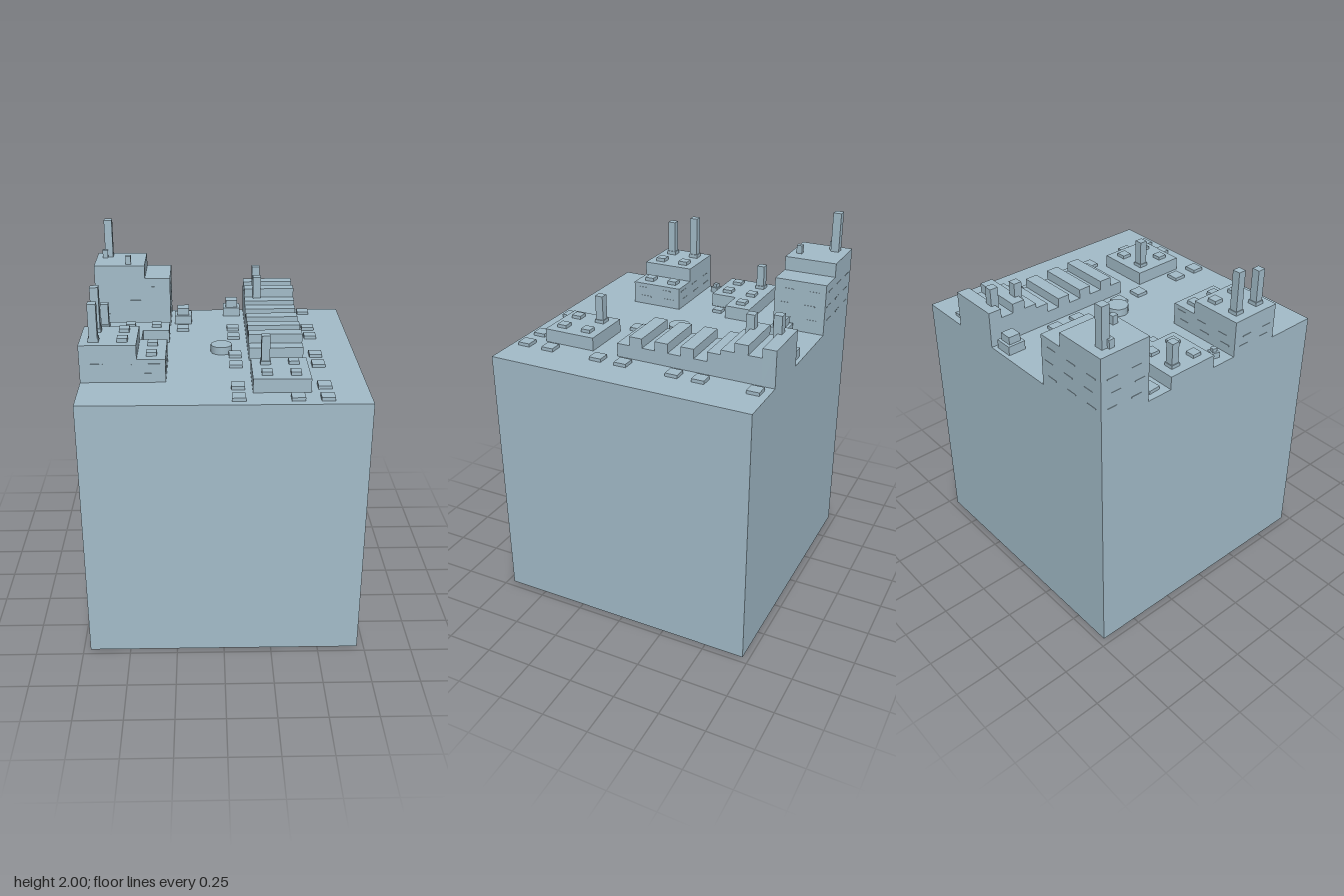
import * as THREE from 'three';

const U = 1 / 7;        // layout cell
const HALF = 5 * U;     // half width of the base block
const G = 10 * U;       // ground level on top of the block

export function createModel() {
  const model = new THREE.Group();
  const stone = new THREE.MeshStandardMaterial({ color: 0xa3bcc9 });
  stone.name = 'blueGreyStone';

  function add(parent, name, geometry, x, y, z, turn = 0) {
    const mesh = new THREE.Mesh(geometry, stone);
    mesh.name = name;
    mesh.position.set(x, y, z);
    mesh.rotation.y = turn;
    parent.add(mesh);
    return mesh;
  }
  // Box given by its extents
  function block(parent, name, x0, x1, y0, y1, z0, z1) {
    return add(parent, name, new THREE.BoxGeometry(x1 - x0, y1 - y0, z1 - z0),
      (x0 + x1) / 2, (y0 + y1) / 2, (z0 + z1) / 2);
  }
  // Square post or pad standing on height y0
  function post(parent, name, x, z, width, y0, y1, turn = 0) {
    return add(parent, name, new THREE.BoxGeometry(width, y1 - y0, width), x, (y0 + y1) / 2, z, turn);
  }
  function group(name) {
    const g = new THREE.Group();
    g.name = name;
    model.add(g);
    return g;
  }
  // Thin staggered ledges on the four walls of a block
  function ledges(parent, x0, x1, z0, z1, rows) {
    const t = 0.004, h = 0.006, w = 0.06;
    rows.forEach((y, r) => {
      for (let x = x0 + U / 2; x < x1; x += U) {
        const c = x + (r % 2 ? 0.015 : -0.005);
        for (const z of [z0, z1]) add(parent, 'wallLedge', new THREE.BoxGeometry(w, h, t), c, y, z);
      }
      for (let z = z0 + U / 2; z < z1; z += U) {
        const c = z + (r % 2 ? 0.015 : -0.005);
        for (const x of [x0, x1]) add(parent, 'wallLedge', new THREE.BoxGeometry(t, h, w), x, y, c);
      }
    });
  }

  // Base block
  block(model, 'baseBlock', -HALF, HALF, 0, G, -HALF, HALF);

  // Stepped tower at the back
  const tower = group('tower');
  block(tower, 'towerHigh', -HALF, -3 * U, G, 1.785, -HALF, -3 * U);
  block(tower, 'towerLow', -3 * U, -2 * U, G, 1.71, -HALF, -3 * U);
  post(tower, 'towerChimney', -0.643, -0.643, 0.045, 1.785, 2);
  post(tower, 'roofVent', -0.664, -0.62, 0.03, 1.785, 1.83);
  post(tower, 'roofVent', -0.522, -0.478, 0.03, 1.785, 1.83);
  ledges(tower, -HALF, -2 * U, -HALF, -3 * U, [1.5, 1.58, 1.66]);

  // L-shaped house in the middle
  const court = group('courtHouse');
  block(court, 'courtWing', -HALF, -2 * U, G, 1.5, -2 * U, -U);
  block(court, 'courtWing', -HALF, -3 * U, G, 1.5, -U, 0);
  for (const x of [-4.5, -3.5, -2.5]) {
    for (const z of [-1.5, -0.5]) {
      const floor = x === -2.5 && z === -0.5 ? G : 1.5;
      post(court, 'roofPad', x * U, z * U, 0.052, floor, floor + 0.018);
    }
  }
  post(court, 'courtChimney', -4.5 * U, -1.5 * U, 0.043, 1.5, 1.635);

  // Stepped house at the front
  const hall = group('frontHouse');
  block(hall, 'hallHigh', -HALF, -3 * U, G, 1.625, U, 3 * U);
  block(hall, 'hallLow', -3 * U, -2 * U, G, 1.55, U, 3 * U);
  for (const z of [1.5, 2.5]) {
    for (const x of [-4.5, -3.5]) post(hall, 'roofPad', x * U, z * U, 0.052, 1.625, 1.645);
    post(hall, 'roofPad', -2.5 * U, z * U, 0.052, 1.55, 1.57);
  }
  post(hall, 'hallChimney', -4.5 * U, 1.5 * U, 0.043, 1.625, 1.86);
  post(hall, 'hallChimney', -4.5 * U, 2.5 * U, 0.043, 1.625, 1.82);
  ledges(hall, -HALF, -2 * U, U, 3 * U, [1.475, 1.525]);

  // Small house at the front left
  const cottage = group('cottage');
  block(cottage, 'cottageBody', U, 3 * U, G, 1.5, 2 * U, 4 * U);
  for (const x of [1.5, 2.5]) {
    for (const z of [2.5, 3.5]) post(cottage, 'roofPad', x * U, z * U, 0.052, 1.5, 1.518);
  }
  post(cottage, 'cottageChimney', 1.5 * U, 2.5 * U, 0.043, 1.5, 1.65);

  // Long ridged workshop: low and high strips alternate, the rear part is taller
  const works = group('ridgedWorkshop');
  for (let i = 0; i < 12; i++) {
    const z1 = U - i * U / 2;
    const top = (i < 8 ? 1.5 : 1.575) + (i % 2) * 0.05;
    block(works, 'roofStrip', U, 3 * U, G, top, z1 - U / 2, z1);
  }
  post(works, 'workshopChimney', 1.5 * U, -3.5 * U, 0.045, 1.5, 1.7);
  post(works, 'workshopChimney', 1.5 * U, -4.5 * U, 0.045, 1.5, 1.72);

  // Paving pads on the ground, in layout cells
  const pads = group('groundPads');
  const spots = [[2.5, 4.5], [-1.5, -2.5]];
  for (const z of [-2.5, -1.5, 0.5, 1.5, 3.5, 4.5]) spots.push([0.5, z], [3.5, z]);
  spots.push([3.5, -4.5]);
  for (const [x, z] of spots) post(pads, 'groundPad', x * U, z * U, 0.067, G, G + 0.018);
  post(pads, 'turnedPad', -4.5 * U, -2.5 * U, 0.067, G, G + 0.018, 0.06);

  // Two-tier plinths, a small turned marker and the round well
  for (const [x, z] of [[0.5, -4.5], [-1.5, -3.5]]) {
    const plinth = group('plinth');
    post(plinth, 'plinthBase', x * U, z * U, 0.098, G, 1.478);
    post(plinth, 'plinthCap', x * U, z * U, 0.067, 1.478, 1.52);
  }
  const marker = group('marker');
  post(marker, 'markerBase', -4.5 * U, 0.5 * U, 0.045, G, 1.46, -0.25);
  post(marker, 'markerTop', -4.5 * U, 0.5 * U, 0.025, 1.46, 1.48, -0.25);
  add(model, 'well', new THREE.CylinderGeometry(0.058, 0.058, 0.042, 12).toNonIndexed(), 0, G + 0.021, 0);

  return model;
}
